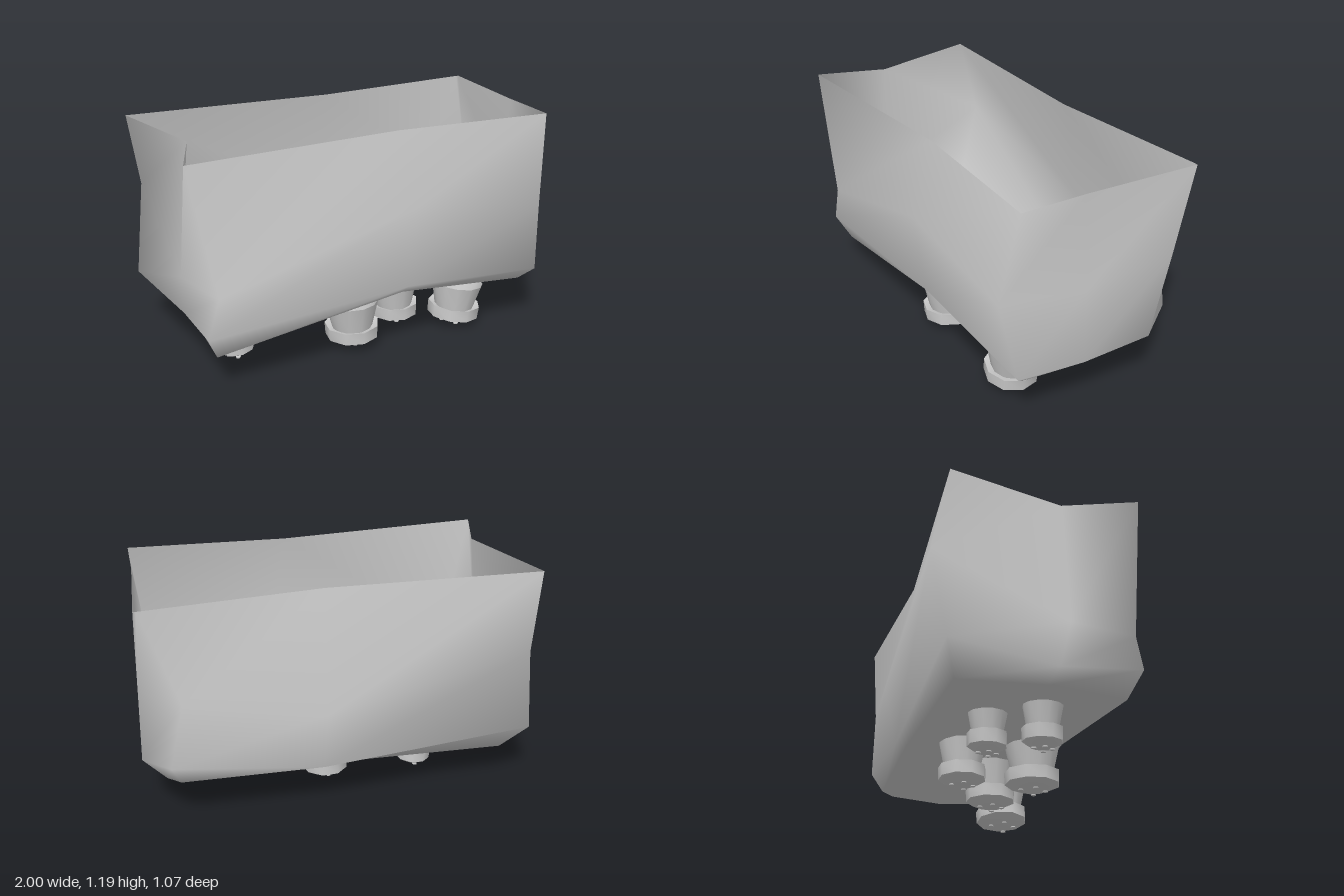
import * as THREE from 'three';
import { toCreasedNormals } from 'three/addons/utils/BufferGeometryUtils.js';

const grey = new THREE.MeshStandardMaterial({ color: 0xcccccc, side: THREE.DoubleSide });

// Dented open box: four loops from rim to floor edge, closed by a floor point.
// Each loop runs front left, front middle, front right, right, back right (two points for
// the chamfered corner), back, back left, left (as seen from the front).
function tubGeometry() {
  const top = 1.195;
  const rim = [[-1, top, 0.465], [0.1, top, 0.4], [0.93, top, 0.465], [0.945, top, 0.13],
    [1, top, -0.465], [0.985, top, -0.465], [0.1, top, -0.4], [-1, top, -0.465], [-0.87, top, 0.12]];
  const waist = [[-0.87, 0.53, 0.465], [0.12, 0.83, 0.53], [0.87, 0.73, 0.535], [0.95, 0.7, 0.1],
    [1, 0.75, -0.365], [0.81, 0.71, -0.465], [0.12, 0.59, -0.53], [-0.93, 0.8, -0.53], [-0.94, 0.52, 0.12]];
  const lower = [[-0.93, 0.33, 0.465], [0.14, 0.39, 0.47], [0.93, 0.33, 0.465], [0.96, 0.3, 0.1],
    [1, 0.33, -0.26], [0.88, 0.37, -0.46], [0.12, 0.265, -0.465], [-1, 0.33, -0.465], [-0.92, 0.3, 0.07]];
  const floorEdge = [[-0.87, 0.2, 0.4], [0.14, 0.33, 0.4], [0.87, 0.26, 0.4], [0.8, 0.2, -0.07],
    [0.89, 0.25, -0.33], [0.83, 0.255, -0.4], [0.12, 0.255, -0.41], [-0.87, 0.2, -0.4], [-0.86, 0.23, 0.03]];
  const loops = [rim, waist, lower, floorEdge];
  const points = [...loops.flat(), [0, 0.3, 0]];
  const n = rim.length;
  const index = [];
  for (let i = 0; i < n; i++) {
    const j = (i + 1) % n;
    for (let r = 0; r < 3; r++) {
      const a = r * n + i, b = r * n + j, c = a + n, d = b + n;
      index.push(c, d, b, c, b, a);
    }
    index.push(4 * n, 3 * n + j, 3 * n + i);
  }
  const g = new THREE.BufferGeometry();
  g.setAttribute('position', new THREE.Float32BufferAttribute(points.flat(), 3));
  g.setIndex(index);
  g.computeVertexNormals();
  return g;
}

function lathe(profile, sides) {
  const g = new THREE.LatheGeometry(profile.map(([r, y]) => new THREE.Vector2(r, y)), sides);
  return toCreasedNormals(g, 0.85);
}

function add(parent, geometry, name) {
  const mesh = new THREE.Mesh(geometry, grey);
  mesh.name = name;
  parent.add(mesh);
  return mesh;
}

// Foot: flared stem on a shallow domed pad with small flat studs beneath
function makeFoot(r, top) {
  const foot = new THREE.Group();
  foot.name = 'foot';
  add(foot, lathe([[r * 0.72, 0.085], [r * 0.98, top]], 12), 'footStem');
  add(foot, lathe([[0, 0.013], [r * 0.5, 0.022], [r * 0.98, 0.05],
    [r, 0.115], [r * 0.72, 0.1]], 9), 'footPad');
  for (let i = 0; i < 4; i++) {
    const a = i * 1.4 + 0.4;
    const stud = add(foot, new THREE.CylinderGeometry(0.014, 0.014, 0.006, 5), 'footStud');
    stud.position.set(Math.cos(a) * r * 0.45, 0.016, Math.sin(a) * r * 0.45);
  }
  return foot;
}

export function createModel() {
  const model = new THREE.Group();
  model.name = 'footedTub';
  add(model, tubGeometry(), 'tub');

  // x, z, radius, height offset, sideways tilt, stem top
  const feet = [[0.555, 0.24, 0.143, -0.003, -0.12, 0.24], [0.27, 0.09, 0.133, 0.008, 0.02, 0.255],
    [0.025, -0.13, 0.125, 0.028, 0, 0.245], [-0.055, 0.22, 0.145, 0.006, 0.03, 0.25],
    [-0.47, -0.14, 0.097, 0.017, 0.08, 0.21], [-0.65, 0.07, 0.098, -0.005, 0.1, 0.22]];
  for (const [x, z, r, y, tilt, top] of feet) {
    const foot = makeFoot(r, top);
    foot.position.set(x, y, z);
    foot.rotation.z = tilt;
    model.add(foot);
  }
  return model;
}
